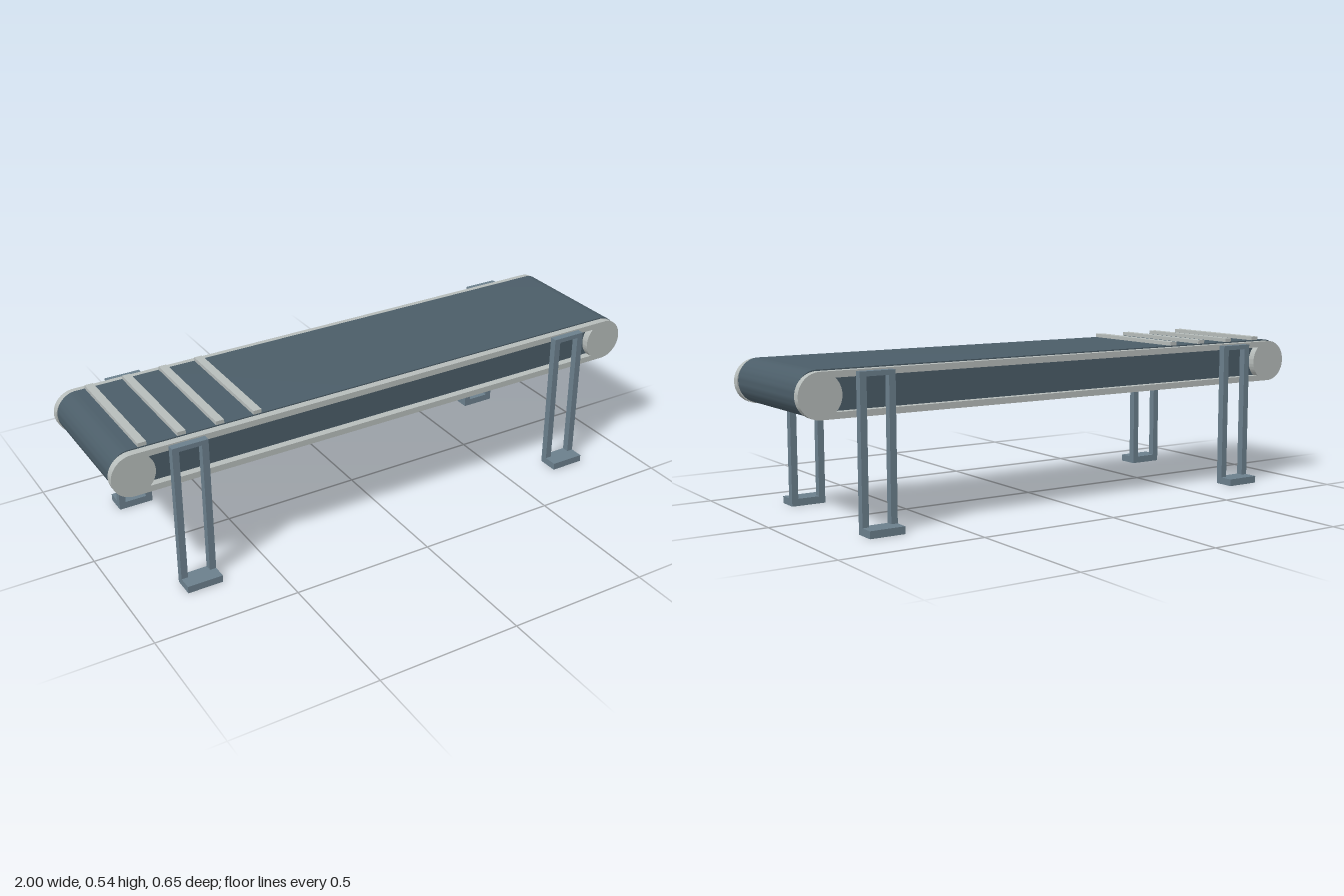
import * as THREE from 'three';
import { toCreasedNormals } from 'three/addons/utils/BufferGeometryUtils.js';

const AXIS_X = 0.926; // end roller centres
const MID_Y = 0.444;

const mat = (color) => new THREE.MeshStandardMaterial({ color });

// Rounded-end outline centred on the origin
function stadium(centerX, rx, ry) {
  const s = new THREE.Shape();
  s.moveTo(-centerX, -ry);
  s.lineTo(centerX, -ry);
  s.absellipse(centerX, 0, rx, ry, -Math.PI / 2, Math.PI / 2, false);
  s.lineTo(-centerX, ry);
  s.absellipse(-centerX, 0, rx, ry, Math.PI / 2, Math.PI * 1.5, false);
  return s;
}

function extrude(shape, depth) {
  const g = new THREE.ExtrudeGeometry(shape, { depth, bevelEnabled: false, curveSegments: 16 });
  g.translate(0, 0, -depth / 2);
  return toCreasedNormals(g, 0.6);
}

export function createModel() {
  const group = new THREE.Group();
  const beltMat = mat(0x4b5d68);
  const railMat = mat(0xb6bcba);
  const legMat = mat(0x6b7f8c);

  const add = (parent, name, geometry, material, x, y, z) => {
    const m = new THREE.Mesh(geometry, material);
    m.name = name;
    m.position.set(x, y, z);
    parent.add(m);
    return m;
  };

  // Belt wrapped around the full body
  add(group, 'belt', extrude(stadium(AXIS_X, 0.07, 0.0745), 0.446), beltMat, 0, 0.4475, 0);

  // Side rails: slot ends follow the round end discs
  const r = 0.074;
  const railShape = stadium(AXIS_X, r, r);
  const slotY = 0.053;
  const a = Math.asin(slotY / r);
  const slot = new THREE.Path();
  slot.moveTo(-AXIS_X + r * Math.cos(a), slotY);
  slot.absarc(-AXIS_X, 0, r, a, -a, true);
  slot.lineTo(AXIS_X - r * Math.cos(a), -slotY);
  slot.absarc(AXIS_X, 0, r, Math.PI + a, Math.PI - a, true);
  slot.closePath();
  railShape.holes.push(slot);
  const railGeo = extrude(railShape, 0.026);
  for (const side of [1, -1]) {
    add(group, side > 0 ? 'frontRail' : 'backRail', railGeo, railMat, 0, MID_Y, side * 0.236);
  }

  // Raised cleats across the belt
  const cleatGeo = new THREE.BoxGeometry(0.029, 0.016, 0.444);
  for (let i = 0; i < 4; i++) {
    add(group, 'cleat', cleatGeo, railMat, -0.88 + i * 0.1325, 0.527, 0);
  }

  // Legs: open rectangular frames with an outward foot
  const w = 0.124, h = 0.513, t = 0.023;
  const frame = new THREE.Shape();
  frame.moveTo(-w / 2, 0);
  frame.lineTo(w / 2, 0);
  frame.lineTo(w / 2, h);
  frame.lineTo(-w / 2, h);
  frame.closePath();
  const opening = new THREE.Path();
  opening.moveTo(-w / 2 + t, 0.025);
  opening.lineTo(-w / 2 + t, h - 0.016);
  opening.lineTo(w / 2 - t, h - 0.016);
  opening.lineTo(w / 2 - t, 0.025);
  opening.closePath();
  frame.holes.push(opening);
  const frameGeo = extrude(frame, 0.025);
  const footGeo = new THREE.BoxGeometry(w, 0.025, 0.05);
  for (const sx of [1, -1]) {
    for (const sz of [1, -1]) {
      const leg = new THREE.Group();
      leg.name = (sz > 0 ? 'front' : 'back') + (sx > 0 ? 'Left' : 'Right') + 'Leg';
      leg.position.x = sx * 0.743;
      add(leg, 'legFrame', frameGeo, legMat, 0, 0, sz * 0.2615);
      add(leg, 'foot', footGeo, legMat, 0, 0.0125, sz * 0.298);
      group.add(leg);
    }
  }

  return group;
}
